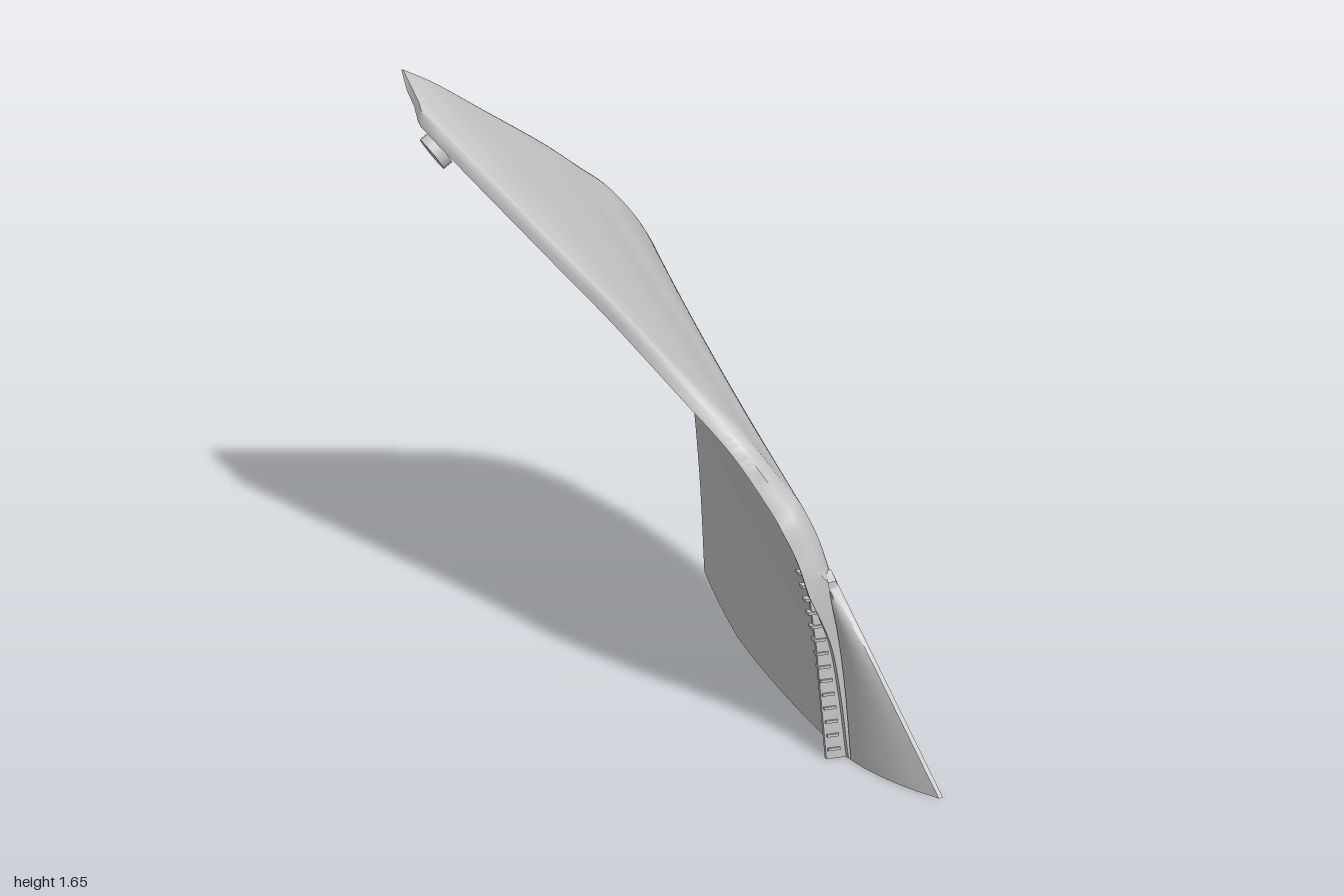
import * as THREE from 'three';
import { toCreasedNormals } from 'three/addons/utils/BufferGeometryUtils.js';

const V = (a) => new THREE.Vector3(...a);
const smooth = THREE.MathUtils.smoothstep;

// Matching stations up the rear edge and along the front / top edge
const rear = new THREE.CatmullRomCurve3([
  [0.465, 0, -0.885], [0.455, 0.3, -0.9], [0.435, 0.55, -0.912], [0.405, 0.72, -0.932],
  [0.365, 0.9, -0.965], [0.305, 1.04, -0.993], [0.205, 1.17, -1.0], [0.11, 1.25, -0.985],
  [0, 1.34, -0.963], [-0.2, 1.485, -0.926], [-0.37, 1.605, -0.896], [-0.46, 1.655, -0.88],
].map(V));
const front = new THREE.CatmullRomCurve3([
  [0.385, 0, 0.62], [0.36, 0.2, 0.625], [0.33, 0.37, 0.63], [0.3, 0.48, 0.635],
  [0.28, 0.55, 0.635], [0.25, 0.65, 0.622], [0.205, 0.75, 0.602], [0.165, 0.81, 0.575],
  [0.075, 0.94, 0.508], [-0.035, 1.067, 0.36], [-0.22, 1.293, -0.12], [-0.46, 1.58, -0.7],
].map(V));
const LAST = 11;

// Panel surface: u runs rear to front, v runs up
function panelPoint(u, v) {
  const p = rear.getPoint(v).lerp(front.getPoint(v), u);
  p.x -= 0.14 * u * (1 - u) * (1 - smooth(v * LAST, 1, 7));
  return p;
}

// Triangular toe continuing the panel forward
function toePoint(u, v) {
  const end = V([0.465, 0, 1]).lerp(V([0.275, 0.575, 0.605]), v);
  const p = front.getPoint((v * 4) / LAST).lerp(end, u);
  p.x -= 0.08 * u * (1 - u) * (1 - v);
  return p;
}

// Hollow double skin, open at the foot: outer skin, rolled edges, inner skin
function shell(point, us, rows, outerDepth, innerDepth, fixedNormal) {
  const pos = [], idx = [], m = us.length, ring = m * 2, e = 0.004;
  for (let j = 0; j <= rows; j++) {
    const v = j / rows;
    for (let i = 0; i < ring; i++) {
      const outer = i < m, u = us[outer ? i : ring - 1 - i];
      const p = point(u, v);
      let n = fixedNormal;
      if (!n) {
        const a = Math.max(0, u - e), b = Math.min(1, u + e);
        const c = Math.max(0, v - e), d = Math.min(1, v + e);
        n = point(u, d).sub(point(u, c)).cross(point(b, v).sub(point(a, v))).normalize();
      }
      p.addScaledVector(n, -(outer ? outerDepth : innerDepth)(u, v));
      if (j === 0) p.y = 0;
      pos.push(p.x, Math.max(0, p.y), p.z);
    }
  }
  for (let j = 0; j < rows; j++) {
    for (let i = 0; i < ring; i++) {
      const k = (i + 1) % ring, a = j * ring + i, b = j * ring + k;
      idx.push(a, a + ring, b + ring, a, b + ring, b);
    }
  }
  // strip closing the top
  const t = rows * ring;
  for (let i = 0; i < m - 1; i++) {
    const a = t + i, b = a + 1, c = t + ring - 2 - i, d = c + 1;
    idx.push(a, c, b, a, d, c);
  }
  const g = new THREE.BufferGeometry();
  g.setAttribute('position', new THREE.Float32BufferAttribute(pos, 3));
  g.setIndex(idx);
  return toCreasedNormals(g, 0.75);
}

export function createModel() {
  const group = new THREE.Group();
  const grey = new THREE.MeshStandardMaterial({ color: 0xc6c6c6, side: THREE.DoubleSide });
  grey.name = 'light grey';
  const add = (name, geometry, parent = group) => {
    const mesh = new THREE.Mesh(geometry, grey);
    mesh.name = name;
    parent.add(mesh);
    return mesh;
  };

  // Main curved panel with a rolled lip at the front and top
  const us = [0, 0.005, 0.015];
  for (let i = 1; i <= 26; i++) us.push(0.015 + (0.94 * i) / 26);
  us.push(0.965, 0.975, 0.984, 0.992, 1);
  const fade = (v) => 1 - 0.5 * smooth(v * LAST, 5.5, 10);
  // 0 away from the front edge, 1 on it, over a band of constant width
  const roll = (u, v) => {
    const span = rear.getPoint(v).distanceTo(front.getPoint(v));
    return Math.max(0, 1 - ((1 - u) * span) / 0.065);
  };
  const outerDepth = (u, v) =>
    (u < 0.015 ? 0.008 * (1 - u / 0.015) ** 2 : 0) +
    0.04 * fade(v) * smooth(v * LAST, 3.5, 4.5) * roll(u, v) ** 2;
  const innerDepth = (u, v) => {
    const gap = u < 0.35 ? 0.01 + 0.1 * u : 0.045 + 0.028 * (u - 0.35);
    return fade(v) * (gap + 0.025 * smooth(v * LAST, 1.5, 4) * Math.min(1, roll(u, v) * 1.5));
  };
  add('panel', shell(panelPoint, us, 88, outerDepth, innerDepth));

  // Pointed toe at the front foot, thinning towards its tip
  const toeUs = [0, 0.2, 0.4, 0.6, 0.8, 1];
  const toeDepth = (u, v) => 0.014 + 0.048 * (1 - u) * (1 - 0.7 * v);
  add('toe', shell(toePoint, toeUs, 12, () => 0, toeDepth, V([0.98, 0, -0.2])));

  // Inner return flange behind the front edge, with small ribs up its length
  const flange = new THREE.Shape();
  flange.moveTo(0.262, 0);
  flange.lineTo(0.335, 0);
  flange.lineTo(0.31, 0.25);
  flange.lineTo(0.25, 0.5);
  flange.lineTo(0.2, 0.64);
  flange.lineTo(0.165, 0.64);
  flange.lineTo(0.208, 0.52);
  flange.lineTo(0.232, 0.34);
  flange.closePath();
  add('returnFlange', new THREE.ExtrudeGeometry(flange, { depth: 0.014, bevelEnabled: false }))
    .position.z = 0.59;
  const ribs = new THREE.Group();
  ribs.name = 'flangeRibs';
  group.add(ribs);
  for (let i = 0; i < 14; i++) {
    const y = 0.03 + i * 0.042;
    add('rib', new THREE.BoxGeometry(0.036, 0.008, 0.028), ribs)
      .position.set(0.285 - 0.06 * y - 0.17 * y * y, y, 0.597);
  }

  // Mounting tabs on the inner face: flat oval plate on a short stem
  const tabs = [
    { at: [-0.412, 1.45, -0.74], tilt: -0.96, rise: 0.028 },
    { at: [-0.14, 1.352, -0.82], tilt: -0.75, rise: 0.008 },
  ];
  for (const { at, tilt, rise } of tabs) {
    const tab = new THREE.Group();
    tab.name = 'mountingTab';
    tab.position.set(...at);
    group.add(tab);
    const plate = add('tabPlate', new THREE.CylinderGeometry(0.055, 0.055, 0.03, 24), tab);
    plate.rotation.z = tilt;
    plate.scale.z = 0.9;
    const stem = add('tabStem', new THREE.CylinderGeometry(0.018, 0.018, 0.05, 12), tab);
    stem.position.set(0.58 * rise, 0.81 * rise, 0);
    stem.rotation.z = -0.62;
  }
  return group;
}
